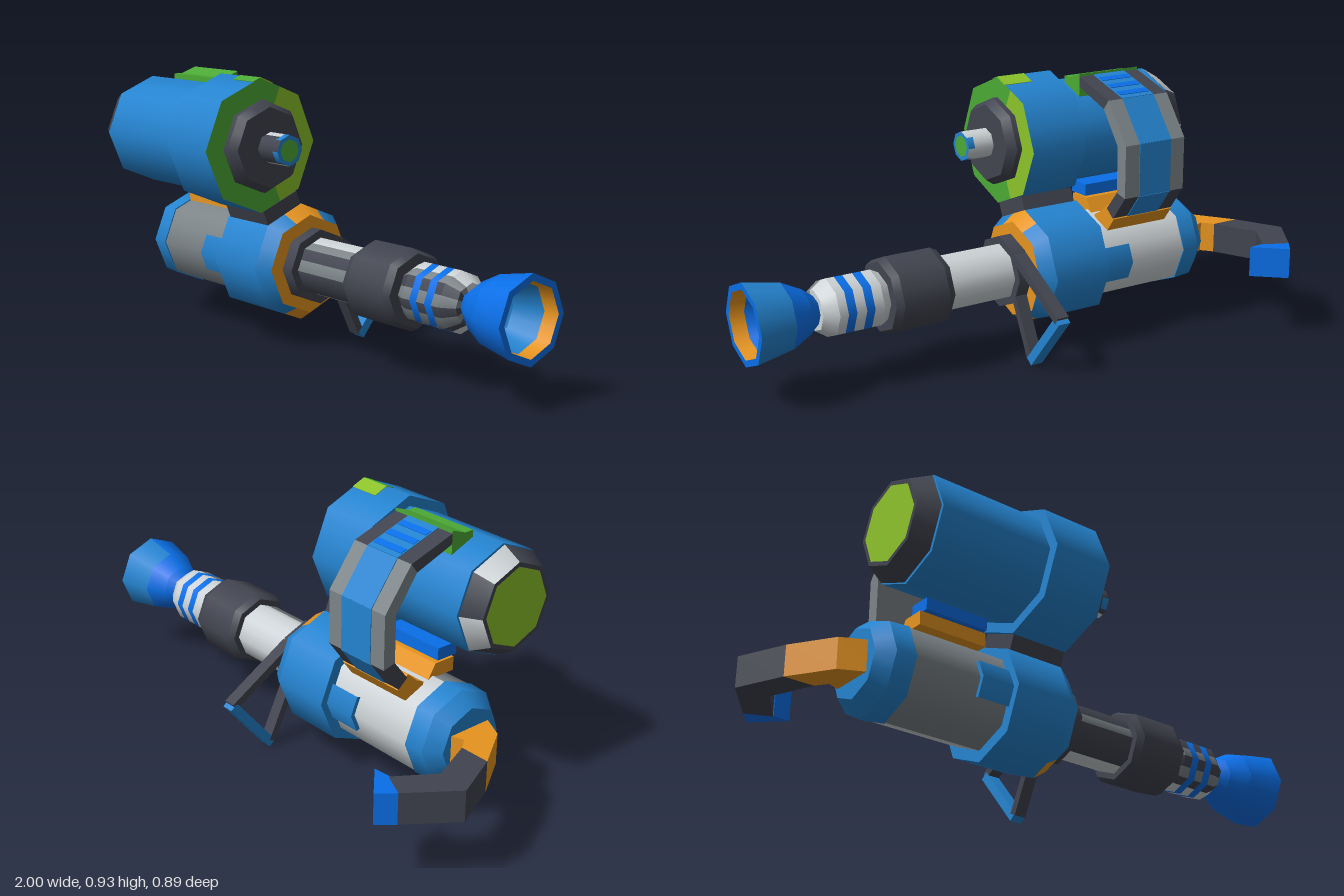
import * as THREE from 'three';

const mat = (name, color) => {
  const m = new THREE.MeshStandardMaterial({ color });
  m.name = name;
  return m;
};
const blue = mat('blue', 0x2483cf), bright = mat('bright blue', 0x0a70ea);
const green = mat('green', 0x4ca935), lime = mat('lime', 0x8cc22a);
const orange = mat('orange', 0xe6941f), dark = mat('dark slate', 0x41444f);
const grey = mat('grey', 0x7c8488), light = mat('light grey', 0xcdd3d6);

// Eight-sided turned part along x. profile: [x, radius] from rear to front.
// Each side is cut in half, so there are 16 strips h, from the top towards +z.
// paint(segment, h) gives the material, or null to leave the strip open.
function turned(name, profile, paint, cy = 0, cz = 0) {
  const buckets = new Map();
  const point = ([x, r], h) => {
    const t = h * Math.PI / 8, q = h % 2 ? r * Math.cos(Math.PI / 8) : r;
    return [x, q * Math.cos(t), q * Math.sin(t)];
  };
  for (let s = 0; s + 1 < profile.length; s++) {
    const p = profile[s], q = profile[s + 1];
    const dx = q[0] - p[0], dr = q[1] - p[1], len = Math.hypot(dx, dr);
    for (let h = 0; h < 16; h++) {
      const m = paint(s, h);
      if (!m) continue;
      if (!buckets.has(m)) buckets.set(m, { pos: [], nor: [] });
      const b = buckets.get(m);
      const corners = [[p, h], [p, h + 1], [q, h + 1], [q, h]];
      const order = [];
      if (p[1] > 0) order.push(0, 1, 2);
      if (q[1] > 0) order.push(0, 2, 3);
      for (const i of order) {
        const [c, k] = corners[i], t = k * Math.PI / 8;
        b.pos.push(...point(c, k));
        b.nor.push(-dr / len, dx / len * Math.cos(t), dx / len * Math.sin(t));
      }
    }
  }
  const pos = [], nor = [], mats = [], geo = new THREE.BufferGeometry();
  for (const [m, b] of buckets) {
    geo.addGroup(pos.length / 3, b.pos.length / 3, mats.length);
    mats.push(m);
    for (const v of b.pos) pos.push(v);
    for (const v of b.nor) nor.push(v);
  }
  geo.setAttribute('position', new THREE.Float32BufferAttribute(pos, 3));
  geo.setAttribute('normal', new THREE.Float32BufferAttribute(nor, 3));
  const mesh = new THREE.Mesh(geo, mats);
  mesh.name = name;
  mesh.position.set(0, cy, cz);
  return mesh;
}

const extrude = (pts, depth) => new THREE.ExtrudeGeometry(
  new THREE.Shape(pts.map(([a, b]) => new THREE.Vector2(a, b))), { depth, bevelEnabled: false });

// Slab with a [z, y] outline, running from x0 to x1
function sideSlab(name, pts, x0, x1, m) {
  const geo = extrude(pts.map(([z, y]) => [-z, y]), x1 - x0);
  geo.rotateY(Math.PI / 2).translate(x0, 0, 0);
  const mesh = new THREE.Mesh(geo, m);
  mesh.name = name;
  return mesh;
}

// Slab with an [x, z] outline, running from y0 to y1
function flatSlab(name, pts, y0, y1, m) {
  const geo = extrude(pts.map(([x, z]) => [x, -z]), y1 - y0);
  geo.rotateX(-Math.PI / 2).translate(0, y0, 0);
  const mesh = new THREE.Mesh(geo, m);
  mesh.name = name;
  return mesh;
}

// Four-cornered outline of a straight bar between two [z, y] points
function bar([z0, y0], [z1, y1], w) {
  const l = Math.hypot(z1 - z0, y1 - y0), a = -(y1 - y0) / l * w / 2, b = (z1 - z0) / l * w / 2;
  return [[z0 + a, y0 + b], [z1 + a, y1 + b], [z1 - a, y1 - b], [z0 - a, y0 - b]];
}

export function createModel() {
  const model = new THREE.Group();
  model.name = 'blaster';
  const by = 0.285, bz = 0.05, ty = 0.7, tz = 0.22;   // barrel and tank axes
  const body = (n, p, f) => model.add(turned(n, p, f, by, bz));
  const tank = (n, p, f) => model.add(turned(n, p, f, ty, tz));
  // metal is dark with grey streaks on the +z side, light elsewhere
  const metal = h => (h === 0 || h > 6 ? light : h % 2 ? grey : dark);

  // Lower body
  body('rearCap', [[-0.75, 0], [-0.75, 0.12], [-0.7, 0.162], [-0.63, 0.167], [-0.63, 0]], () => blue);
  body('receiver', [[-0.63, 0.163], [-0.27, 0.163]], (s, h) => (h < 8 ? grey : light));
  body('sideTabs', [[-0.39, 0.163], [-0.39, 0.178], [-0.27, 0.178]],
    (s, h) => ([3, 4, 11, 12].includes(h) ? blue : null));
  body('frontCollar', [[-0.27, 0], [-0.27, 0.203], [-0.05, 0.203], [0, 0.17], [0, 0]],
    (s, h) => (s === 3 || (s === 2 && [0, 15, 7, 8].includes(h)) ? orange : blue));

  // Barrel
  body('barrelRing', [[0.008, 0], [0.008, 0.128], [0.055, 0.128], [0.055, 0]], () => dark);
  body('barrel', [[0, 0.1], [0.305, 0.1]], (s, h) => (h === 5 ? dark : metal(h)));
  body('sleeve', [[0.305, 0], [0.305, 0.122], [0.33, 0.135], [0.5, 0.135], [0.525, 0.122], [0.525, 0]], () => dark);
  body('ringedMuzzle', [[0.525, 0.085], [0.555, 0.1], [0.59, 0.1], [0.62, 0.1], [0.655, 0.1],
    [0.685, 0.1], [0.715, 0.1], [0.76, 0.07], [0.76, 0]],
  (s, h) => (s === 2 || s === 4 ? bright : metal(h)));
  body('bell', [[0.755, 0], [0.755, 0.045], [0.8, 0.08], [0.87, 0.115], [1, 0.141], [1, 0.118],
    [0.95, 0.112], [0.85, 0.085], [0.8, 0.022], [0.8, 0]],
  (s, h) => {
    if (s === 5) return orange;
    if (s === 8) return dark;
    if (s === 6 || s === 7) return h > 2 && h < 7 ? bright : blue;
    return s === 3 && h > 9 ? blue : bright;
  });

  // Upper tank
  tank('tankRearCap', [[-0.755, 0], [-0.755, 0.135], [-0.755, 0.15], [-0.69, 0.187], [-0.69, 0]],
    (s, h) => (s === 0 ? lime : s === 2 && [14, 15, 10, 11].includes(h) ? light : dark));
  tank('tankBody', [[-0.685, 0], [-0.685, 0.19], [-0.27, 0.19]], () => blue);
  tank('tankCollar', [[-0.27, 0], [-0.27, 0.226], [-0.05, 0.226], [-0.05, 0]],
    (s, h) => (s < 2 ? blue : h > 8 && h < 15 ? lime : green));
  model.add(sideSlab('collarMark', bar([0.22, 0.926], [0.17, 0.9053], 0.004), -0.16, -0.049, lime));
  model.add(sideSlab('collarMark', bar([0.22, 0.926], [0.25, 0.9136], 0.004), -0.16, -0.049, green));
  tank('tankFrontCap', [[-0.05, 0.155], [-0.03, 0.155], [0, 0.135], [0, 0]], () => dark);
  tank('nozzle', [[0, 0.052], [0.075, 0.052], [0.1, 0.052], [0.1, 0.038], [0.1, 0]],
    (s, h) => {
      if (s === 3) return green;
      if (s === 2 || (s === 1 && h % 4 < 2)) return blue;
      return h > 0 && h < 7 ? dark : light;
    });

  // Saddle between the tank and the body
  model.add(sideSlab('saddle', [[0.212, 0.478], [0.07, 0.533], [0.042, 0.46], [0.185, 0.41]], -0.26, -0.05, dark));

  // Strap handle behind the tank, from the green pad to the orange foot
  const x0 = -0.575, x1 = -0.32;
  const outer = [[0.11, 0.915], [-0.06, 0.86], [-0.163, 0.72], [-0.163, 0.535], [-0.098, 0.448]];
  const inner = [[0.11, 0.88], [-0.035, 0.826], [-0.117, 0.71], [-0.117, 0.547], [-0.062, 0.478]];
  model.add(sideSlab('strapPad', [[0.11, 0.925], [0.11, 0.84], [0.2, 0.86], [0.2, 0.905], [0.165, 0.905]], x0, x1, green));
  [dark, grey, grey, dark].forEach((m, i) => {
    model.add(sideSlab('strapSegment', [outer[i], outer[i + 1], inner[i + 1], inner[i]], x0, x1, m));
    model.add(sideSlab('strapInlay', bar(outer[i], outer[i + 1], 0.005), -0.515, -0.38, blue));
  });
  const along = t => [0, 1].map(k => outer[0][k] + (outer[1][k] - outer[0][k]) * t);
  for (const t of [0.15, 0.45, 0.75]) {
    model.add(sideSlab('strapSlat', bar(along(t), along(t + 0.14), 0.009), -0.51, -0.385, bright));
  }
  model.add(sideSlab('strapFoot', [[-0.06, 0.49], [-0.103, 0.448], [-0.06, 0.39], [0.0, 0.4], [0.01, 0.44], [-0.02, 0.455]], x0, x1, orange));
  model.add(sideSlab('footBlock', [[0.14, 0.44], [0.14, 0.488], [0.06, 0.488], [0.03, 0.44]], x0, x1, orange));
  model.add(sideSlab('footSpacer', [[0.16, 0.488], [0.16, 0.53], [0.08, 0.53], [0.08, 0.488]], x0 + 0.01, x1 - 0.01, bright));

  // Folding side grip under the barrel
  const gx0 = 0.01, gx1 = 0.055;
  model.add(sideSlab('gripUpperArm', bar([-0.04, 0.36], [-0.295, 0.207], 0.028), gx0, gx1, dark));
  model.add(sideSlab('gripLowerArm', bar([-0.03, 0.24], [-0.135, 0.022], 0.026), gx0, gx1, dark));
  model.add(sideSlab('gripBar', bar([-0.298, 0.21], [-0.135, 0.013], 0.032), gx0, gx1, blue));

  // Bent shoulder stock
  const y0 = 0.23, y1 = 0.337;
  model.add(flatSlab('stockRoot', [[-0.74, 0.13], [-0.83, 0.085], [-0.925, -0.06], [-0.82, -0.06],
    [-0.79, -0.02], [-0.74, -0.04]], y0, y1, orange));
  model.add(flatSlab('stockArm', [[-0.925, -0.06], [-1, -0.225], [-0.885, -0.385], [-0.8, -0.345],
    [-0.885, -0.215], [-0.82, -0.06]], y0, y1, dark));
  model.add(flatSlab('stockPad', [[-0.885, -0.385], [-0.84, -0.44], [-0.74, -0.345], [-0.8, -0.34]], y0, y1, bright));
  return model;
}
